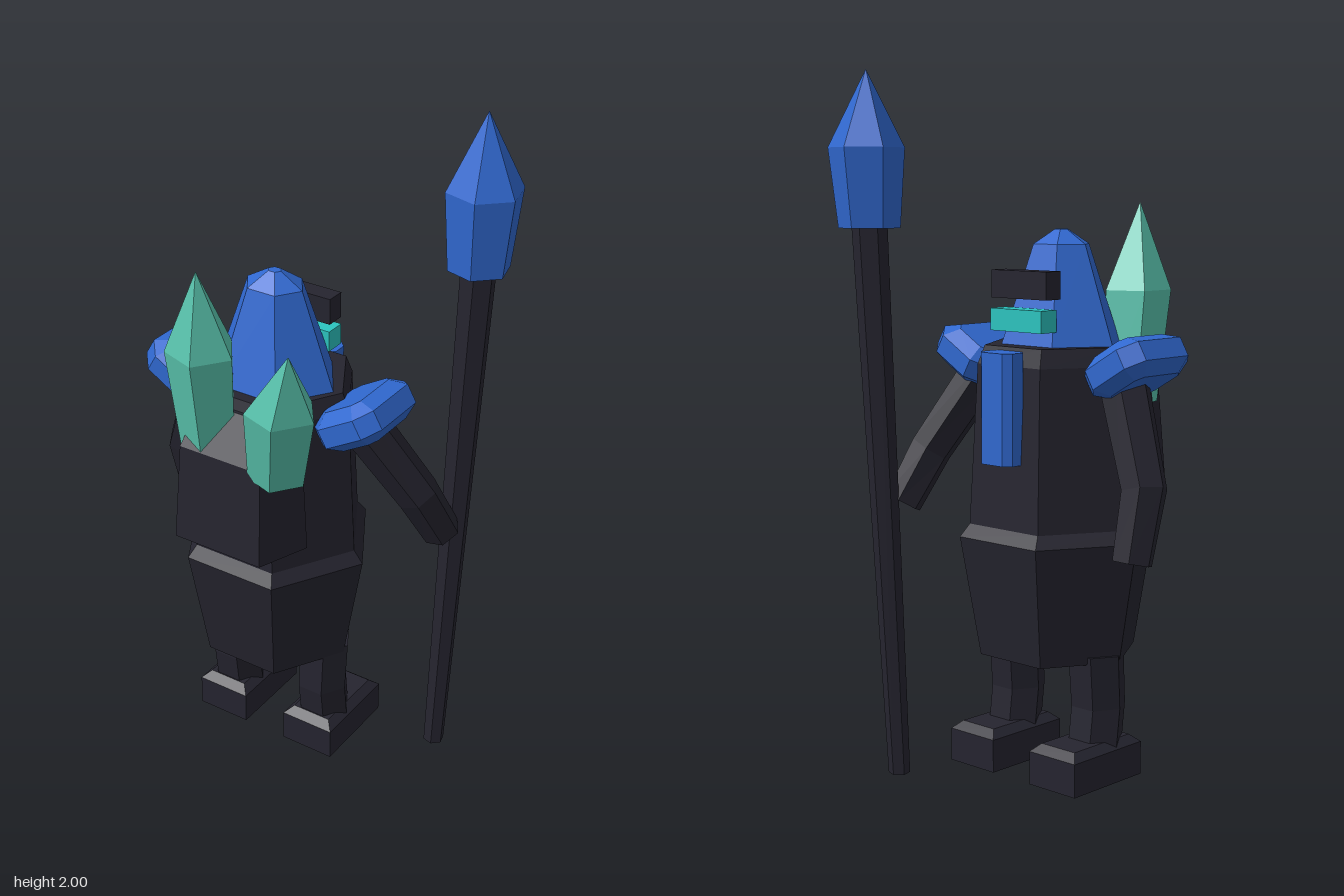
import * as THREE from 'three';

const mat = (name, color) => {
  const m = new THREE.MeshStandardMaterial({ color, flatShading: true });
  m.name = name;
  return m;
};
const V = (x, y, z) => new THREE.Vector3(x, y, z);
const UP = V(0, 1, 0);

// Polygon ring around a centre; dir tilts it, sz squashes its depth
function ring(c, r, n, start = 0, sz = 1, dir = UP) {
  const q = new THREE.Quaternion().setFromUnitVectors(UP, dir);
  return Array.from({ length: n }, (_, k) => {
    const a = start + (k / n) * Math.PI * 2;
    return V(Math.cos(a) * r, 0, Math.sin(a) * r * sz).applyQuaternion(q).add(c);
  });
}

// Skin a stack of rings, ordered from bottom to top, with optional caps
function loft(rings, bottomCap = true) {
  const pos = [], n = rings[0].length;
  const tri = (...pts) => pts.forEach((p) => pos.push(p.x, p.y, p.z));
  for (let i = 0; i < rings.length - 1; i++) {
    for (let k = 0; k < n; k++) {
      const j = (k + 1) % n, lo = rings[i], hi = rings[i + 1];
      tri(lo[k], hi[k], lo[j]);
      tri(lo[j], hi[k], hi[j]);
    }
  }
  const lo = rings[0], hi = rings[rings.length - 1];
  for (let k = 1; k < n - 1; k++) {
    if (bottomCap) tri(lo[0], lo[k], lo[k + 1]);
    tri(hi[0], hi[k + 1], hi[k]);
  }
  const g = new THREE.BufferGeometry();
  g.setAttribute('position', new THREE.Float32BufferAttribute(pos, 3));
  g.computeVertexNormals();
  return g;
}

// Bent limb through points, each ring square to the path
function limb(points, radii, n = 6) {
  return loft(points.map((p, i) => {
    const a = points[Math.max(0, i - 1)], b = points[Math.min(points.length - 1, i + 1)];
    return ring(p, radii[i], n, 0, 1, b.clone().sub(a).normalize());
  }));
}

export function createModel() {
  const group = new THREE.Group();
  const dark = mat('dark cloth', 0x25242f);
  const blue = mat('blue', 0x3068cf);
  const green = mat('crystal green', 0x5ac4ae);
  const teal = mat('glowing teal', 0x2cc4c0);
  const purple = mat('purple lining', 0x3c3472);
  const add = (name, geo, material) => {
    const m = new THREE.Mesh(geo, material);
    m.name = name;
    group.add(m);
    return m;
  };
  const box = (name, w, h, d, x, y, z, material) =>
    add(name, new THREE.BoxGeometry(w, h, d), material).position.set(x, y, z);
  const cx = -0.067;

  // Hexagonal robe with flared waist
  const robe = [[0.225, 0.4], [0.283, 0.735], [0.255, 0.77], [0.23, 1.21], [0.21, 1.26]];
  add('robe', loft(robe.map(([r, y]) => ring(V(cx, y, 0.012), r, 6)), false), dark);
  const lining = add('robeLining', new THREE.CircleGeometry(0.225, 6), purple);
  lining.rotation.x = Math.PI / 2;
  lining.position.set(cx, 0.4, 0.012);

  // Faceted hood
  add('hood', loft([[0.19, 1.25], [0.087, 1.53], [0.02, 1.57]]
    .map(([r, y]) => ring(V(cx, y, 0.022), r, 6, 0, 0.86))), blue);

  // Brow, eye band and beard, on the -z face
  box('brow', 0.2, 0.075, 0.056, cx, 1.425, -0.12, dark);
  box('eyeBand', 0.187, 0.06, 0.06, cx, 1.33, -0.13, teal);
  const beard = [0.95, 1.25].map((y) =>
    [[0.058, -0.02], [0.058, 0.02], [0.038, 0.039], [-0.038, 0.039],
      [-0.058, 0.02], [-0.058, -0.02], [-0.038, -0.039], [0.038, -0.039]]
      .map(([x, z]) => V(cx + x, y, z - 0.212)));
  add('beard', loft(beard), blue);

  // Pack wrapped around the +z side, holding the crystals
  const pack = [[0.84, 0.195, 0.14, 0.31], [1.12, 0.18, 0.13, 0.288], [1.23, 0.15, 0.11, 0.215]];
  add('pack', loft(pack.map(([y, w, f, z]) => [
    V(cx + w, y, 0.16), V(cx + f, y, z), V(cx - f, y, z), V(cx - w, y, 0.16)])), dark);

  // Five-sided crystals
  const crystal = (name, base, mid, tip) => add(name, loft([
    ring(base, 0.08, 5), ring(mid, 0.098, 5), ring(tip, 0.001, 5)]), green);
  crystal('tallCrystal', V(-0.155, 1.09, 0.205), V(-0.152, 1.4, 0.238), V(-0.14, 1.64, 0.268));
  crystal('shortCrystal', V(0.085, 1.09, 0.235), V(0.138, 1.33, 0.293), V(0.19, 1.525, 0.34));

  // Legs and bevelled feet
  for (const s of [-1, 1]) {
    const x = cx + s * 0.152;
    add('leg', loft([ring(V(x, 0.15, -0.005), 0.078, 6), ring(V(x, 0.27, 0.01), 0.078, 6),
      ring(V(x, 0.42, 0), 0.08, 6)]), dark);
    const sole = (y, w, z0, z1) => [V(x + w, y, z0), V(x + w, y, z1), V(x - w, y, z1), V(x - w, y, z0)];
    add('foot', loft([sole(0.067, 0.083, -0.18, 0.095), sole(0.16, 0.083, -0.18, 0.095),
      sole(0.182, 0.06, -0.155, 0.07)]), dark);
  }

  // Arms, listed from hand to shoulder
  add('hangingArm', limb([V(-0.42, 0.71, -0.09), V(-0.422, 0.9, -0.045), V(-0.29, 1.22, 0.01)],
    [0.056, 0.064, 0.072]), dark);
  add('staffArm', limb([V(0.355, 0.79, -0.185), V(0.315, 0.94, -0.11), V(0.17, 1.22, 0.01)],
    [0.056, 0.062, 0.068]), dark);

  // Bevelled shoulder pads, tilted up and outward
  const pad = new THREE.Shape();
  const c = 0.02, a = 0.065, b = 0.09;
  [[a, -b + c], [a, b - c], [a - c, b], [-a + c, b], [-a, b - c], [-a, -b + c], [-a + c, -b], [a - c, -b]]
    .forEach(([x, y], i) => (i ? pad.lineTo(x, y) : pad.moveTo(x, y)));
  const padGeo = new THREE.ExtrudeGeometry(pad, {
    depth: 0.055, bevelEnabled: true, bevelSize: 0.04, bevelThickness: 0.03, bevelSegments: 1,
  });
  padGeo.translate(0, 0, -0.0275);
  padGeo.rotateX(-Math.PI / 2);
  for (const s of [-1, 1]) {
    const m = add('shoulderPad', padGeo, blue);
    m.position.set(cx + s * 0.28, 1.215, 0.01);
    m.rotation.z = s * 0.53;
  }

  // Leaning staff with a hexagonal spearhead
  add('staff', loft([ring(V(0.342, 0, -0.223), 0.031, 6, 0.28),
    ring(V(0.375, 1.58, -0.281), 0.05, 6, 0.28)]), dark);
  add('spearhead', loft([ring(V(0.375, 1.57, -0.281), 0.086, 6, 0.28),
    ring(V(0.377, 1.79, -0.287), 0.106, 6, 0.28), ring(V(0.377, 2, -0.285), 0.001, 6, 0.28)]), blue);

  return group;
}
